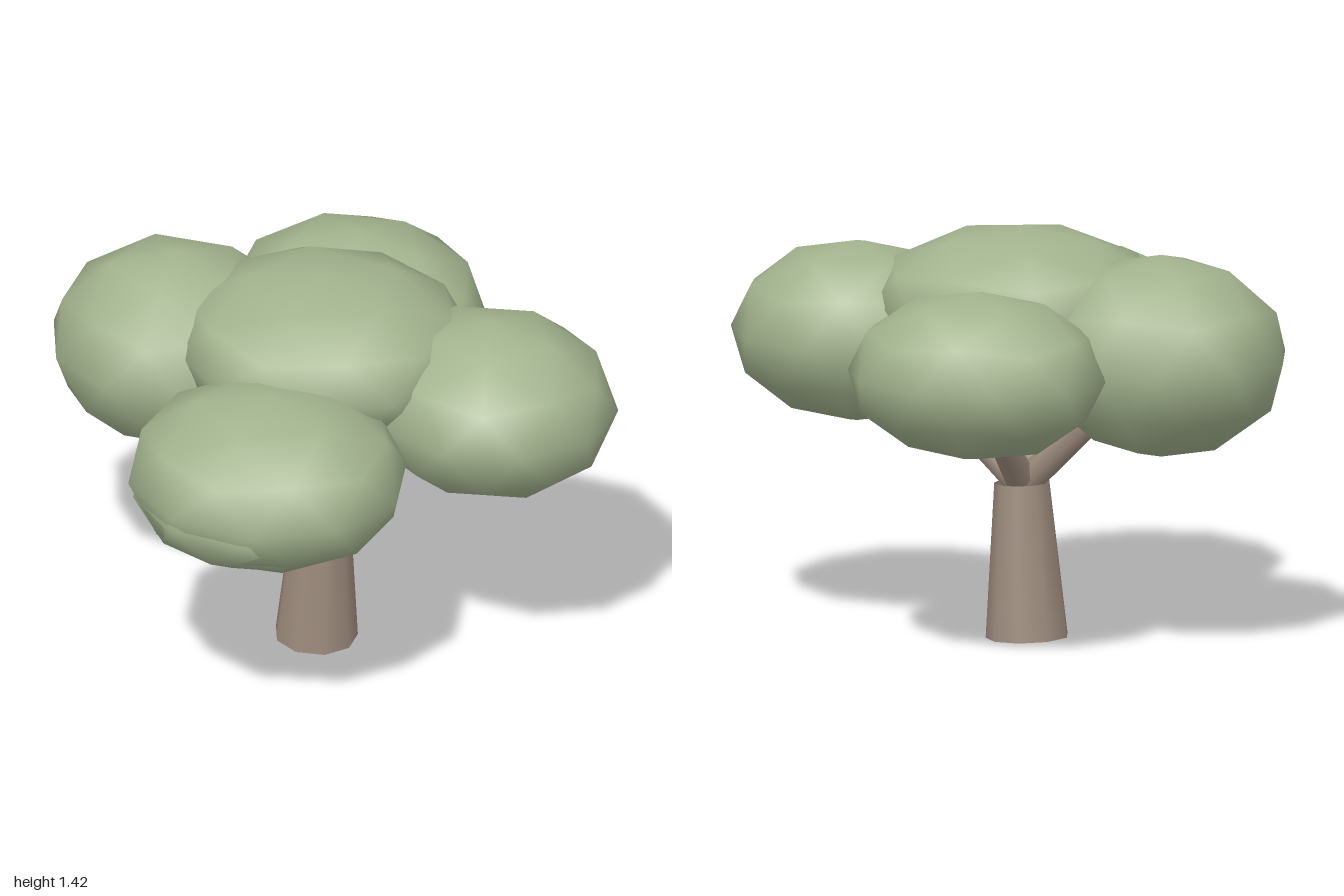
import * as THREE from 'three';

const leaf = new THREE.MeshStandardMaterial({ color: 0xa3b38e });
leaf.name = 'leaf green';
const bark = new THREE.MeshStandardMaterial({ color: 0x9d8b7d, side: THREE.DoubleSide });
bark.name = 'bark brown';

// Low-poly rounded clump with a corner at its top, spun about y (degrees) and fitted to a box
function clump(name, min, max, spin) {
  const geo = new THREE.IcosahedronGeometry(1, 1);
  geo.rotateZ(-Math.atan(2 / (1 + Math.sqrt(5))));
  geo.rotateY(THREE.MathUtils.degToRad(-spin));
  geo.computeBoundingBox();
  const size = geo.boundingBox.getSize(new THREE.Vector3());
  const mid = geo.boundingBox.getCenter(new THREE.Vector3());
  geo.translate(-mid.x, -mid.y, -mid.z);
  geo.scale(...['x', 'y', 'z'].map((k, i) => (max[i] - min[i]) / size[k]));
  geo.translate(...min.map((v, i) => (v + max[i]) / 2));
  const mesh = new THREE.Mesh(geo, leaf);
  mesh.name = name;
  return mesh;
}

// Tapered round limb between two points
function limb(name, from, to, r0, r1, sides, open) {
  const a = new THREE.Vector3(...from);
  const dir = new THREE.Vector3(...to).sub(a);
  const mesh = new THREE.Mesh(new THREE.CylinderGeometry(r1, r0, dir.length(), sides, 1, open), bark);
  mesh.position.copy(a).addScaledVector(dir, 0.5);
  mesh.quaternion.setFromUnitVectors(new THREE.Vector3(0, 1, 0), dir.normalize());
  mesh.name = name;
  return mesh;
}

export function createModel() {
  const tree = new THREE.Group();
  tree.name = 'tree';

  // Hollow trunk and the four branches that fork from its top
  tree.add(limb('trunk', [-0.047, 0.007, -0.061], [-0.023, 0.54, -0.056], 0.143, 0.096, 9, true));
  const fork = [-0.025, 0.53, -0.055];
  const branches = {
    rightBranch: [-0.4, 0.88, -0.04],
    leftBranch: [0.33, 0.86, -0.12],
    frontBranch: [0.03, 0.81, 0.32],
    backBranch: [-0.07, 0.87, -0.38],
  };
  for (const [name, end] of Object.entries(branches)) {
    tree.add(limb(name, fork, end, 0.055, 0.042, 7, false));
  }

  // Foliage: one clump per branch, a lobe on the front one and a clump on top
  tree.add(
    clump('rightFoliage', [-1, 0.68, -0.44], [-0.12, 1.38, 0.385], 8),
    clump('leftFoliage', [0.14, 0.71, -0.57], [1, 1.335, 0.24], -4),
    clump('frontFoliage', [-0.415, 0.655, 0.07], [0.56, 1.25, 0.96], 16),
    clump('frontFoliageLobe', [-0.39, 0.665, 0.1], [0.5, 1.14, 0.95], 52),
    clump('backFoliage', [-0.59, 0.72, -0.965], [0.285, 1.3, -0.16], 0),
    clump('topFoliage', [-0.53, 0.9, -0.52], [0.51, 1.425, 0.42], 18),
  );
  return tree;
}
